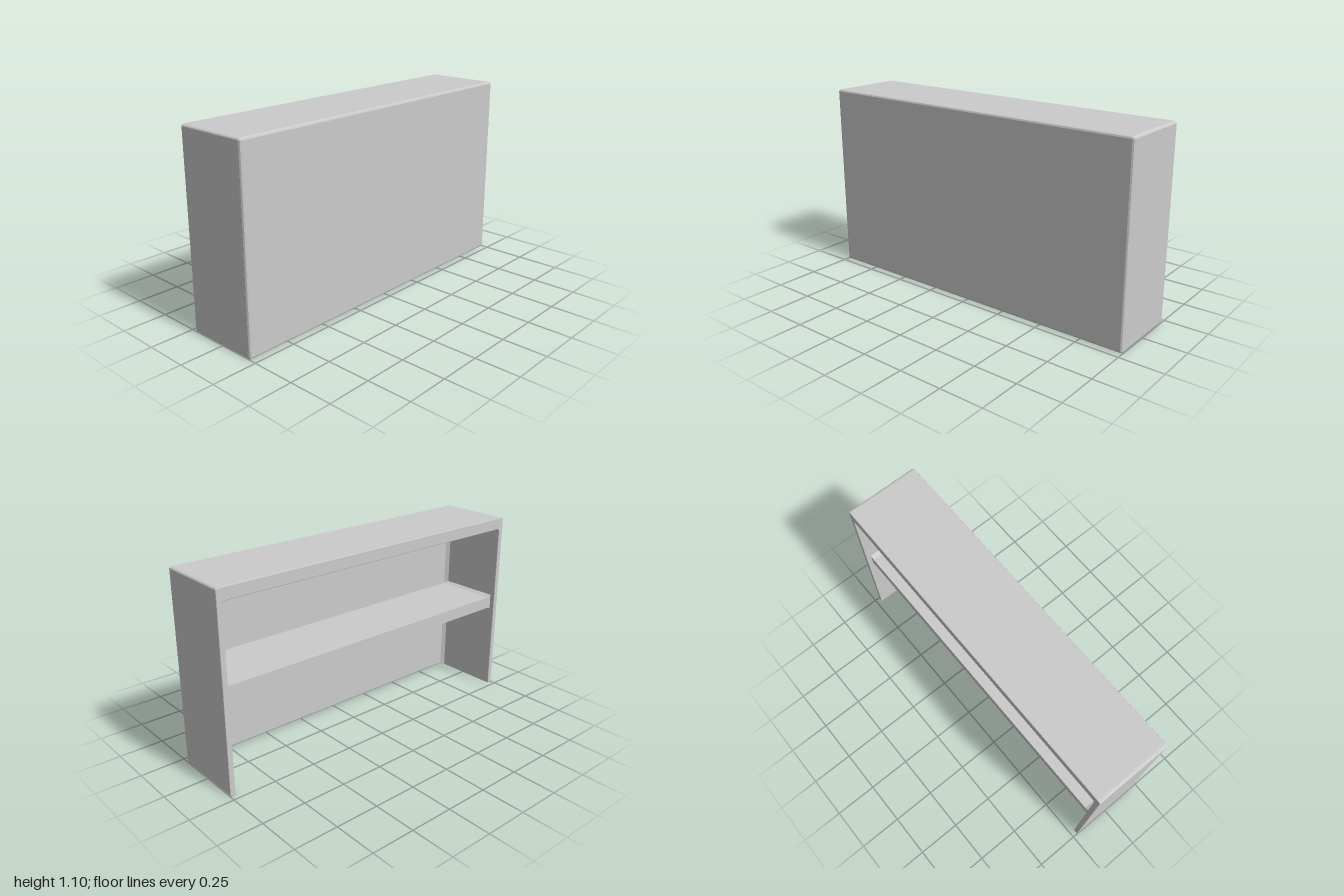
import * as THREE from 'three';

const LEFT = 0.215, RIGHT = -0.22, H = 1.1, T = 0.03, C = 0.012;
const IN = 1 - T; // inner face of the end walls

// Extrudes a [z, y] outline along x, from x0 to x1, with an optional edge bevel.
function slab(name, points, x0, x1, bevel = 0) {
  // rotating by -90 degrees about y sends shape x to z and depth to -x
  const shape = new THREE.Shape(points.map(([z, y]) => new THREE.Vector2(z, y)));
  const geo = new THREE.ExtrudeGeometry(shape, {
    depth: x1 - x0 - 2 * bevel, bevelEnabled: bevel > 0,
    bevelSize: bevel, bevelThickness: bevel, bevelOffset: -bevel, bevelSegments: 2,
  });
  geo.rotateY(-Math.PI / 2);
  geo.translate(x1 - bevel, 0, 0);
  const mesh = new THREE.Mesh(geo, new THREE.MeshStandardMaterial({ color: 0xcccccc }));
  mesh.name = name;
  return mesh;
}

// Mirrors the +z half of an outline to close it.
const mirrored = (half) => [...half, ...half.slice().reverse().map(([z, y]) => [-z, y])];

export function createModel() {
  const group = new THREE.Group();
  group.name = 'counter';

  // softly rounded upper corners shared by the frame and the panel
  const corner = [];
  for (let i = 0; i <= 4; i++) {
    const a = (i / 4) * Math.PI / 2;
    corner.push([1 - 0.02 + 0.02 * Math.cos(a), H - 0.012 + 0.012 * Math.sin(a)]);
  }

  // two end walls and the thick top in one continuous frame
  const under = H - 0.07;
  group.add(slab('frame', mirrored([
    [IN - 0.015, under], [IN, under - 0.015], [IN, 0], [1 - 0.005, 0], [1, 0.01], ...corner,
  ]), RIGHT, LEFT - 0.015, 0.004));

  // large closed panel
  group.add(slab('facePanel', mirrored([
    [1 - 0.005, 0], [1, 0.01], ...corner,
  ]), LEFT - T, LEFT, C));

  // shelf, flaring slightly into the end walls
  group.add(slab('shelf', mirrored([
    [IN - 0.025, 0.52], [IN + 0.005, 0.51], [IN + 0.005, 0.605], [IN - 0.025, 0.59],
  ]), -0.19, LEFT - T + 0.005));

  // corner fillets between the panel and each end wall
  for (const s of [1, -1]) {
    const x = LEFT - T + 0.002;
    const tri = new THREE.Shape([
      new THREE.Vector2(x, s * (IN + 0.002)),
      new THREE.Vector2(x - 0.022, s * (IN + 0.002)),
      new THREE.Vector2(x, s * (IN - 0.022)),
    ]);
    const geo = new THREE.ExtrudeGeometry(tri, { depth: under, bevelEnabled: false });
    geo.rotateX(Math.PI / 2); // shape y becomes z, depth runs down
    geo.translate(0, under, 0);
    const fillet = new THREE.Mesh(geo, new THREE.MeshStandardMaterial({ color: 0xcccccc }));
    fillet.name = s > 0 ? 'frontCornerFillet' : 'backCornerFillet';
    group.add(fillet);
  }
  return group;
}
